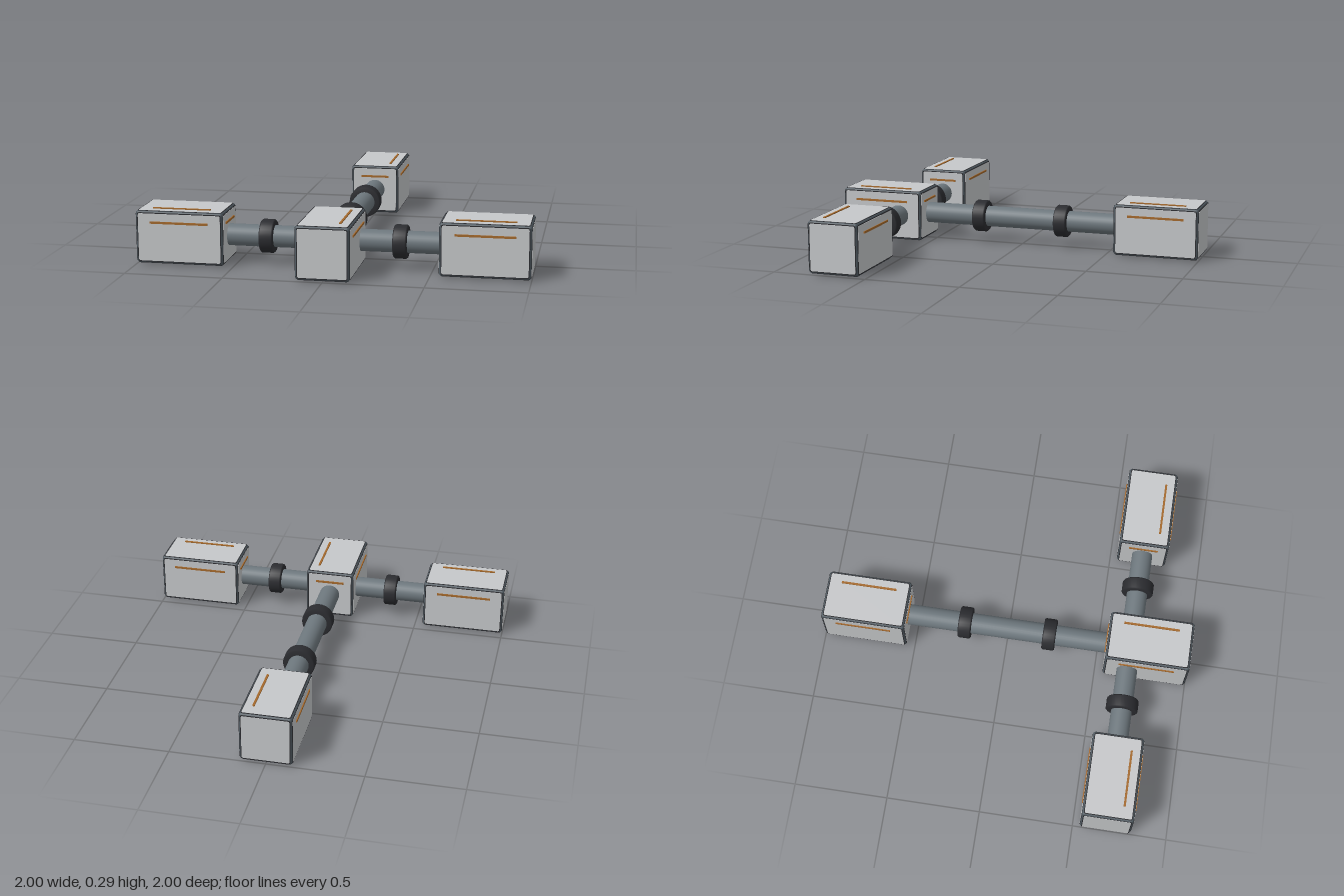
import * as THREE from 'three';
import { RoundedBoxGeometry } from 'three/addons/geometries/RoundedBoxGeometry.js';

const mat = (name, color, extra = {}) => {
  const m = new THREE.MeshStandardMaterial({ color, ...extra });
  m.name = name;
  return m;
};

const W = 0.27, L = 0.452;        // cabin width/height and length
const CY = 0.1435, END = 0.772, SIDE_Z = 0.673;

export function createModel() {
  const model = new THREE.Group();
  model.name = 'stationModel';
  const hull = mat('lightPanel', 0xc6c8ca);
  const frame = mat('frameGrey', 0x505a61);
  const dark = mat('darkTrim', 0x2b2c30);
  const steel = mat('tubeSteel', 0x6d777d);
  const amber = mat('amberStrip', 0xa4692c);

  const add = (parent, name, geo, material, x = 0, y = 0, z = 0) => {
    const mesh = new THREE.Mesh(geo, material);
    mesh.name = name;
    mesh.position.set(x, y, z);
    parent.add(mesh);
    return mesh;
  };

  // Thin plate with rounded corners, its back at z = 0
  const plate = (w, h, r, depth) => {
    const s = new THREE.Shape();
    const x = w / 2, y = h / 2;
    s.moveTo(-x + r, -y);
    s.lineTo(x - r, -y);
    s.quadraticCurveTo(x, -y, x, -y + r);
    s.lineTo(x, y - r);
    s.quadraticCurveTo(x, y, x - r, y);
    s.lineTo(-x + r, y);
    s.quadraticCurveTo(-x, y, -x, y - r);
    s.lineTo(-x, -y + r);
    s.quadraticCurveTo(-x, -y, -x + r, -y);
    return new THREE.ExtrudeGeometry(s, { depth, bevelEnabled: false, curveSegments: 4 });
  };

  // Cabin along local z with its outer end at +z; side sets where the top strip lies
  function cabin(name, x, z, turn, side) {
    const g = new THREE.Group();
    g.name = name;
    g.position.set(x, CY, z);
    g.rotation.y = turn;
    model.add(g);
    add(g, 'frame', new RoundedBoxGeometry(W, W, L, 3, 0.014), frame);

    // Face panels: [name, rotation x, rotation y, face width, face height, distance]
    const faces = [
      ['outerEnd', 0, 0, W, W, L / 2],
      ['innerEnd', 0, Math.PI, W, W, L / 2],
      ['leftSide', 0, Math.PI / 2, L, W, W / 2],
      ['rightSide', 0, -Math.PI / 2, L, W, W / 2],
      ['top', -Math.PI / 2, 0, W, L, W / 2],
      ['bottom', Math.PI / 2, 0, W, L, W / 2],
    ];
    for (const [face, rx, ry, w, h, d] of faces) {
      const f = new THREE.Group();
      f.name = face;
      f.rotation.set(rx, ry, 0);
      g.add(f);
      add(f, 'panelSeal', plate(w - 0.016, h - 0.016, 0.012, 0.002), dark, 0, 0, d - 0.001);
      add(f, 'panel', plate(w - 0.025, h - 0.025, 0.01, 0.003), hull, 0, 0, d - 0.001);
      if (face === 'outerEnd') continue;
      // Amber strip on every face but the outer end
      const flat = rx !== 0;
      const len = face === 'innerEnd' ? 0.16 : 0.3;
      const size = flat ? [0.011, len] : [len, 0.011];
      add(f, 'strip', new THREE.BoxGeometry(...size, 0.007), amber,
        flat ? side * 0.077 : 0, flat ? 0 : 0.077, d + 0.004);
    }
  }
  cabin('frontCabin', 0, END, 0, 1);
  cabin('backCabin', 0, -END, Math.PI, -1);
  cabin('leftCabin', END, SIDE_Z, Math.PI / 2, -1);
  cabin('rightCabin', -END, SIDE_Z, -Math.PI / 2, 1);

  // Connecting tubes
  const tube = (name, length, x, z, alongX) => {
    const t = add(model, name, new THREE.CylinderGeometry(0.056, 0.056, length, 32), steel, x, CY, z);
    if (alongX) t.rotation.z = Math.PI / 2;
    else t.rotation.x = Math.PI / 2;
  };
  tube('longTube', 1.12, 0, 0, false);
  for (const s of [1, -1]) tube(s > 0 ? 'leftTube' : 'rightTube', 0.45, s * 0.34, SIDE_Z, true);

  // Bevelled collars around the tubes
  const profile = [[0.05, -0.035], [0.08, -0.035], [0.086, -0.028], [0.086, 0.028], [0.08, 0.035], [0.05, 0.035]];
  const flatLathe = new THREE.LatheGeometry(profile.map(([r, y]) => new THREE.Vector2(r, y)), 32);
  const collar = (name, x, z, alongX) => {
    const c = add(model, name, flatLathe, dark, x, CY, z);
    if (alongX) c.rotation.z = Math.PI / 2;
    else c.rotation.x = Math.PI / 2;
  };
  for (const s of [1, -1]) {
    collar(s > 0 ? 'leftCollar' : 'rightCollar', s * 0.34, SIDE_Z, true);
    collar(s > 0 ? 'frontCollar' : 'backCollar', 0, s * 0.231, false);
  }
  return model;
}
